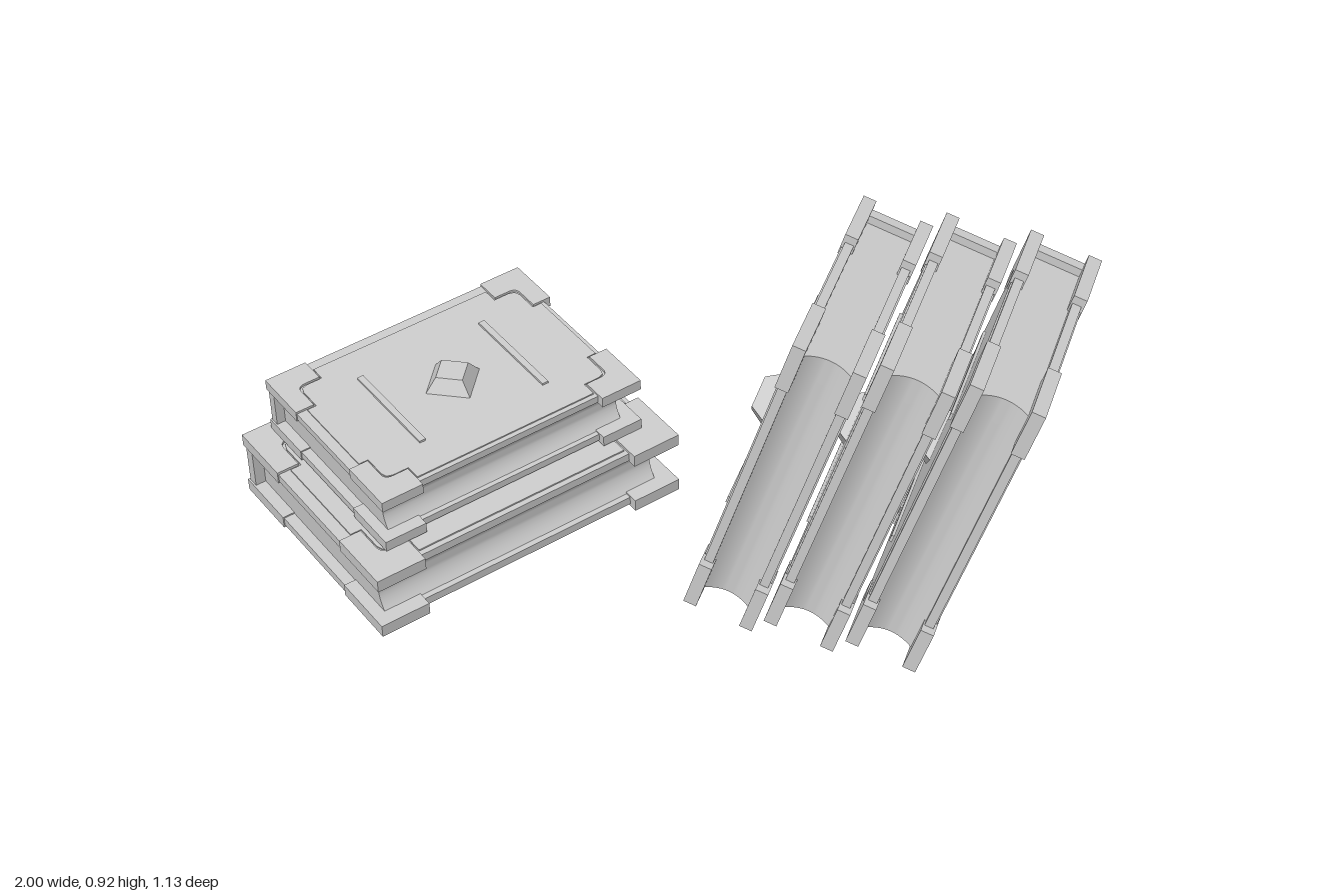
import * as THREE from 'three';
import { toCreasedNormals } from 'three/addons/utils/BufferGeometryUtils.js';

// Book frame: x = thickness (front cover at -x), y = up, z = towards the page edge
const W = 0.645, H = 0.88, T = 0.185;
const HW = W / 2, HH = H / 2, HT = T / 2;

// Extrudes an outline drawn in (z, y) between x0 and x1
function plate(shape, x0, x1) {
  const g = new THREE.ExtrudeGeometry(shape, { depth: x1 - x0, bevelEnabled: false, curveSegments: 5 });
  g.rotateY(-Math.PI / 2).translate(x1, 0, 0);
  return toCreasedNormals(g, 0.5);
}

function box(x0, x1, y0, y1, z0, z1) {
  return new THREE.BoxGeometry(x1 - x0, y1 - y0, z1 - z0)
    .translate((x0 + x1) / 2, (y0 + y1) / 2, (z0 + z1) / 2);
}

// L-shaped corner guard, mirrored by the signs sz and sy
function guardShape(sz, sy) {
  const s = new THREE.Shape();
  s.moveTo(sz * HW, sy * HH);
  s.lineTo(sz * 0.1475, sy * HH);
  s.lineTo(sz * 0.1475, sy * 0.38);
  s.lineTo(sz * 0.2175, sy * 0.38);
  s.quadraticCurveTo(sz * 0.2425, sy * 0.38, sz * 0.2425, sy * 0.355);
  s.lineTo(sz * 0.2425, sy * 0.305);
  s.lineTo(sz * HW, sy * 0.305);
  s.closePath();
  return s;
}

// Raised cover panel, notched around the guards
function panelShape() {
  const quarter = [[0.285, 0.3], [0.2375, 0.3], [0.2375, 0.352], [0.231, 0.369],
    [0.214, 0.375], [0.1425, 0.375], [0.1425, 0.405]];
  const points = [];
  [[1, 1], [-1, 1], [-1, -1], [1, -1]].forEach(([sz, sy]) => {
    const q = quarter.map(([z, y]) => new THREE.Vector2(sz * z, sy * y));
    points.push(...(sz * sy > 0 ? q : q.reverse()));
  });
  return new THREE.Shape(points);
}

// Page block with a hollowed front edge
function pagesGeometry() {
  const s = new THREE.Shape();
  s.moveTo(-0.063, -0.3);
  s.lineTo(0.063, -0.3);
  s.lineTo(0.063, 0.285);
  s.quadraticCurveTo(0, 0.235, -0.063, 0.285);
  s.closePath();
  const g = new THREE.ExtrudeGeometry(s, { depth: 0.8, bevelEnabled: false, curveSegments: 14 });
  g.rotateX(Math.PI / 2).translate(0, 0.393, 0);
  return toCreasedNormals(g, 0.5);
}

function createBook(material) {
  const book = new THREE.Group();
  const add = (name, geometry) => {
    const mesh = new THREE.Mesh(geometry, material);
    mesh.name = name;
    book.add(mesh);
    return mesh;
  };

  add('pages', pagesGeometry());
  add('spine', box(-0.0625, 0.0625, -0.435, 0.415, -0.3185, -0.29));

  // Covers, panels and corner guards on both sides
  for (const side of [-1, 1]) {
    const label = side < 0 ? 'front' : 'back';
    const span = (a, b) => (side > 0 ? [a, b] : [-b, -a]);
    add(label + 'Cover', box(...span(0.0625, 0.0855), -0.437, 0.418, -0.3195, 0.3));
    add(label + 'Panel', plate(panelShape(), ...span(0.08, 0.0895)));
    for (const sz of [-1, 1]) {
      for (const sy of [-1, 1]) {
        add(label + 'CornerGuard', plate(guardShape(sz, sy), ...span(0.0585, HT)));
      }
    }
  }

  // Front cover ornaments: two bars and a cut gem
  for (const sy of [-1, 1]) {
    add('frontBar', box(-0.0965, -0.085, sy * 0.21 - 0.01, sy * 0.21 + 0.01, -0.17, 0.17));
  }
  const gem = new THREE.CylinderGeometry(0.056, 0.094, 0.045, 4, 1).toNonIndexed();
  gem.computeVertexNormals();
  gem.rotateZ(Math.PI / 2).translate(-0.11, 0, 0);
  add('gem', gem);
  return book;
}

// Turns a book so that its page edge points along fore and its top along up
function orient(book, fore, up) {
  const f = new THREE.Vector3(...fore).normalize();
  const x = new THREE.Vector3(...up).cross(f).normalize();
  const u = new THREE.Vector3().crossVectors(f, x);
  book.quaternion.setFromRotationMatrix(new THREE.Matrix4().makeBasis(x, u, f));
}

export function createModel() {
  const model = new THREE.Group();
  model.name = 'books';
  const grey = new THREE.MeshStandardMaterial({ color: 0xcccccc });
  grey.name = 'lightGrey';

  // Three books leaning side by side
  for (let i = 0; i < 3; i++) {
    const book = createBook(grey);
    book.name = 'leaningBook' + (i + 1);
    orient(book, [0.065, -0.035, 0.997], [0.3, 0.954, 0.006]);
    book.position.set(0.333 + i * 0.211, 0.459, -0.227);
    model.add(book);
  }

  // Two books lying in a tilted stack, the upper one smaller
  [['lowerBook', 1, -0.495, 0.255, 0.015], ['upperBook', 0.85, -0.51, 0.428, 0.012]]
    .forEach(([name, scale, x, y, z]) => {
      const book = createBook(grey);
      book.name = name;
      orient(book, [0.837, -0.078, 0.543], [0.534, 0.074, -0.841]);
      book.scale.setScalar(scale);
      book.position.set(x, y, z);
      model.add(book);
    });

  return model;
}
